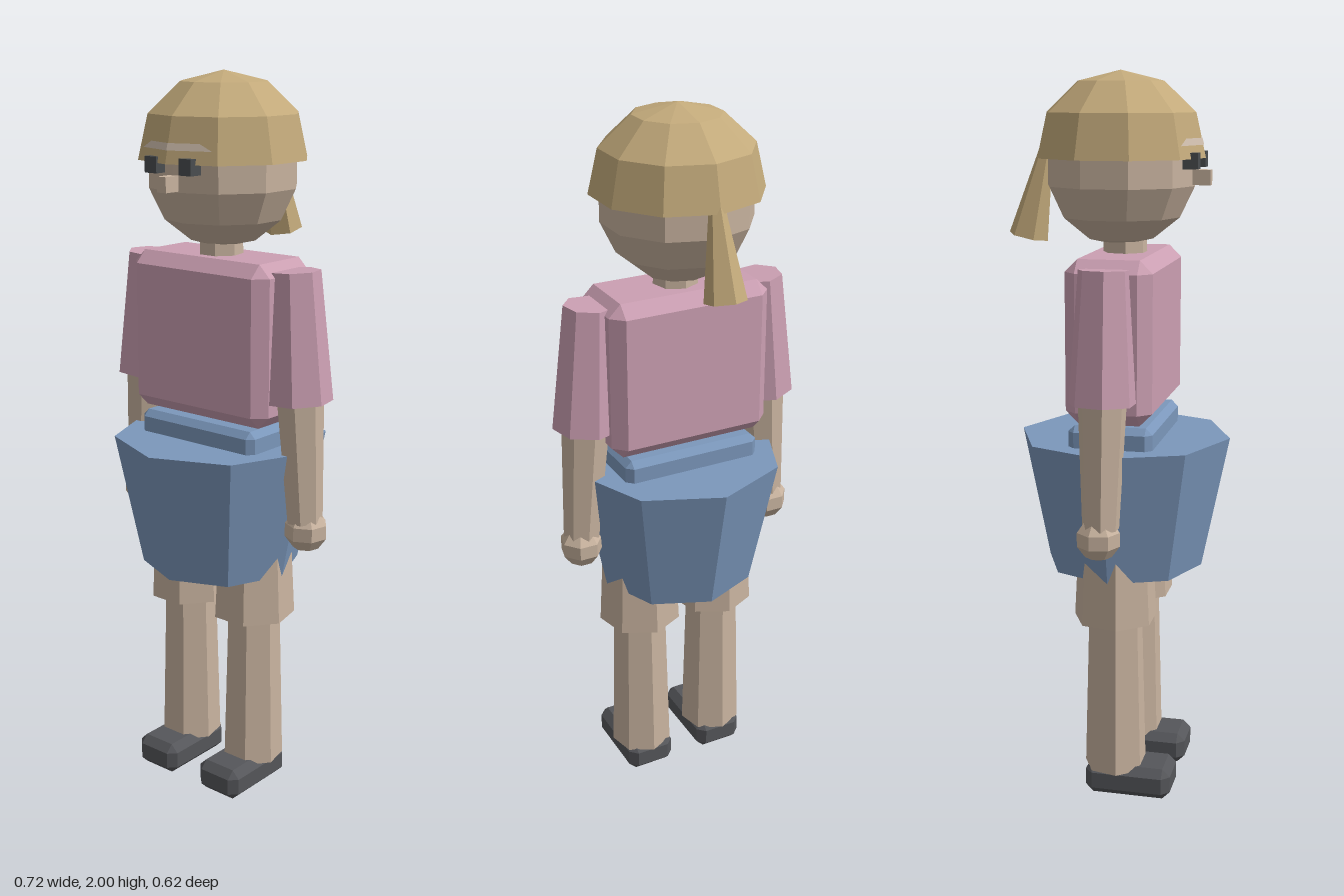
import * as THREE from 'three';
import { ConvexGeometry } from 'three/addons/geometries/ConvexGeometry.js';

function material(name, color, side = THREE.FrontSide) {
  const m = new THREE.MeshStandardMaterial({ color, flatShading: true, side });
  m.name = name;
  return m;
}

export function createModel() {
  const skin = material('skin', 0xc8b39f);
  const pink = material('pink shirt', 0xcb9fb2);
  const blue = material('blue skirt', 0x7b97bb);
  const blond = material('blond hair', 0xc3aa7b);
  const dark = material('dark shoes', 0x55565a);
  const eyeDark = material('eye', 0x4a4e50);
  const pale = material('pale brow', 0xd0bfae, THREE.DoubleSide);

  const model = new THREE.Group();
  model.name = 'figure';
  const Z = 0.013;

  const add = (name, geometry, mat, x = 0, y = 0, z = 0) => {
    const mesh = new THREE.Mesh(geometry, mat);
    mesh.name = name;
    mesh.position.set(x, y, z);
    model.add(mesh);
    return mesh;
  };

  // Tapered prism between two points, with a corner at the back
  const limb = (name, mat, top, rTop, bottom, rBottom, sides = 7) => {
    const a = new THREE.Vector3(...top), b = new THREE.Vector3(...bottom);
    const axis = a.clone().sub(b);
    const geometry = new THREE.CylinderGeometry(rTop, rBottom, axis.length(), sides).rotateY(Math.PI);
    const mesh = add(name, geometry, mat);
    mesh.position.copy(a.add(b).multiplyScalar(0.5));
    mesh.quaternion.setFromUnitVectors(new THREE.Vector3(0, 1, 0), axis.normalize());
    return mesh;
  };

  // Box with every edge and corner cut off, given by half sizes and bevel
  const bevelBox = (hx, hy, hz, b) => {
    const points = [];
    for (const sx of [-1, 1]) for (const sy of [-1, 1]) for (const sz of [-1, 1]) {
      points.push(
        new THREE.Vector3(sx * hx, sy * (hy - b), sz * (hz - b)),
        new THREE.Vector3(sx * (hx - b), sy * hy, sz * (hz - b)),
        new THREE.Vector3(sx * (hx - b), sy * (hy - b), sz * hz));
    }
    return new ConvexGeometry(points);
  };

  // Body
  add('torso', bevelBox(0.233, 0.218, 0.117, 0.034), pink, 0, 1.307, Z);
  add('waist', bevelBox(0.2, 0.12, 0.115, 0.018), blue, 0, 0.96, Z);
  add('skirt', new THREE.CylinderGeometry(0.295, 0.22, 0.37, 8), blue, 0, 0.835, Z);
  limb('neck', skin, [0, 1.6, Z], 0.058, [0, 1.5, Z], 0.062);

  // Arms and legs
  for (const [side, s] of [['left', 1], ['right', -1]]) {
    limb(side + 'Sleeve', pink, [s * 0.25, 1.505, Z], 0.068, [s * 0.27, 1.16, Z], 0.09);
    limb(side + 'Forearm', skin, [s * 0.268, 1.2, Z], 0.067, [s * 0.293, 0.83, Z], 0.05);
    const hand = new THREE.SphereGeometry(0.061, 7, 5).rotateY(Math.PI / 2);
    add(side + 'Hand', hand, skin, s * 0.297, 0.805, Z - 0.005);
    limb(side + 'ShortsLeg', skin, [s * 0.118, 0.75, Z], 0.105, [s * 0.118, 0.52, Z], 0.117);
    limb(side + 'Leg', skin, [s * 0.118, 0.6, Z], 0.074, [s * 0.118, 0.075, Z], 0.088);
    add(side + 'Shoe', bevelBox(0.071, 0.045, 0.122, 0.022), dark, s * 0.116, 0.045, 0.058);
    add(side + 'Eye', new THREE.BoxGeometry(0.04, 0.042, 0.04), eyeDark, s * 0.058, 1.77, 0.202);
  }

  // Head
  add('head', new THREE.SphereGeometry(0.207, 10, 7).rotateY(Math.PI / 2), skin, 0, 1.748, 0);
  add('nose', new THREE.BoxGeometry(0.03, 0.04, 0.06), skin, 0, 1.725, 0.215);

  // Hair cap, with a closed rim underneath
  const profile = [[0.18, 1.785], [0.23, 1.775], [0.203, 1.892], [0.117, 1.972], [0, 2]]
    .map(([r, y]) => new THREE.Vector2(r, y));
  add('hairCap', new THREE.LatheGeometry(profile, 10), blond);

  // Narrow pale band folded over the forehead
  add('brow', new THREE.CylinderGeometry(0.219, 0.224, 0.018, 2, 1, true, -Math.PI / 5, Math.PI * 0.4),
    pale, 0, 1.818, 0.001).scale.x = 0.93;

  // Ponytail widening to its tip
  limb('ponytail', blond, [0, 1.84, -0.195], 0.012, [0, 1.56, -0.258], 0.055, 6);

  return model;
}
